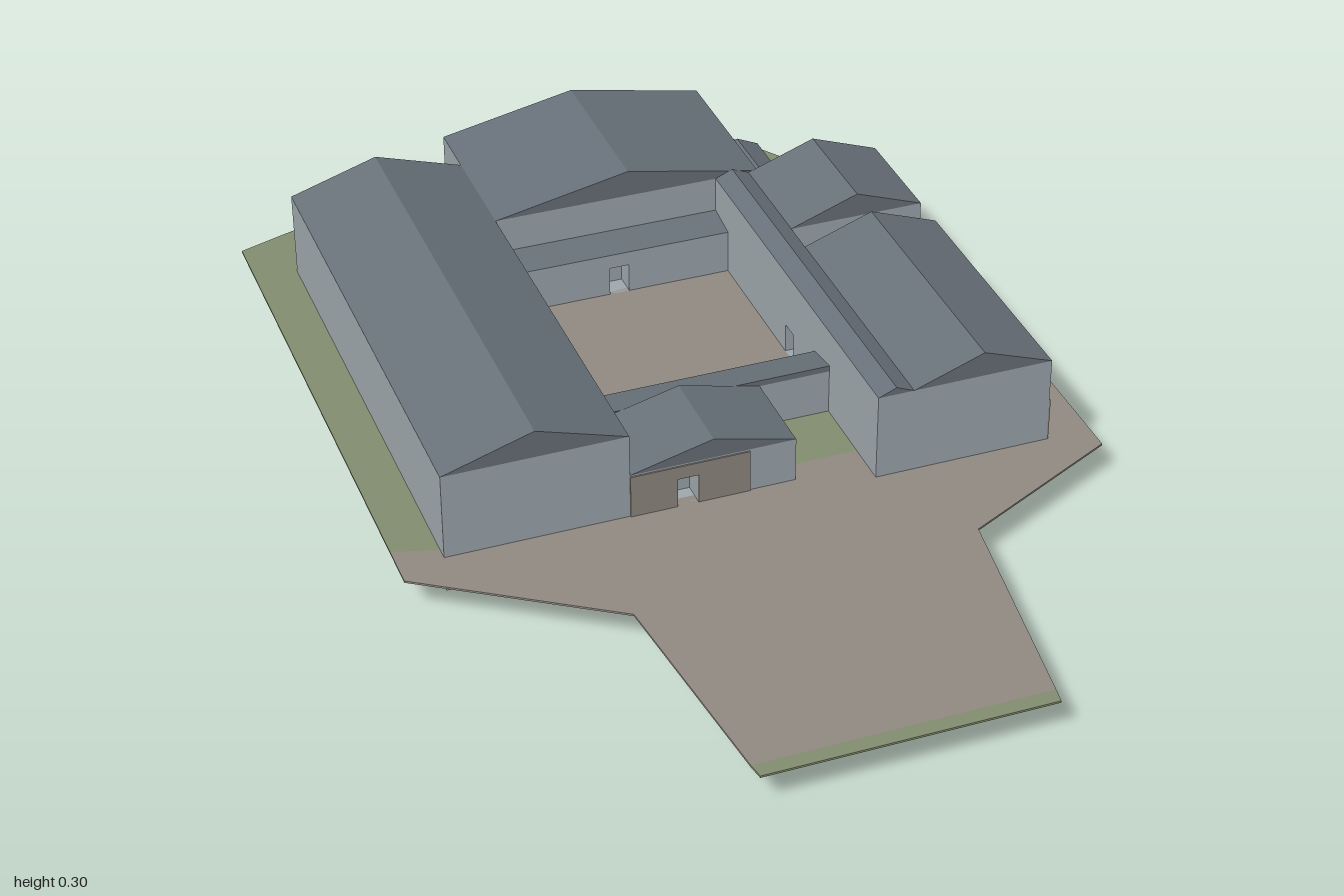
import * as THREE from 'three';

const flat = (name, color) => Object.assign(new THREE.MeshStandardMaterial({ color }), { name });

export function createModel() {
  const wall = flat('pale wall', 0xa0aab0);
  const roof = flat('slate roof', 0x69727a);
  const paving = flat('brown paving', 0x938b83);
  const grass = flat('dull grass', 0x848f70);

  const model = new THREE.Group();
  model.name = 'courtyardComplex';
  const FLOOR = 0.06, GROUND = 0.07, DOOR_TOP = 0.13, EAVE = 0.245, LOW_EAVE = 0.16;
  const DOOR_HALF = 0.02, DOOR_DEPTH = 0.045;

  const add = (name, geometry, material) => {
    const mesh = new THREE.Mesh(geometry, material);
    mesh.name = name;
    model.add(mesh);
    return mesh;
  };
  const shapeOf = (pts) => new THREE.Shape(pts.map(([a, b]) => new THREE.Vector2(a, b)));
  const extrude = (shape, depth) => new THREE.ExtrudeGeometry(shape, { depth, bevelEnabled: false });

  // Plan outline in (x, z), raised from y0 to y1
  const slab = (name, pts, y0, y1, material) =>
    add(name, extrude(shapeOf(pts.map(([x, z]) => [x, -z])), y1 - y0)
      .rotateX(-Math.PI / 2).translate(0, y0, 0), material);

  // Profile in (x, y) swept along z, or in (z, y) swept along x
  const sweepZ = (name, shape, z0, z1, material) =>
    add(name, extrude(shape, z1 - z0).translate(0, 0, z0), material);
  const sweepX = (name, shape, x0, x1, material) =>
    add(name, extrude(shape, x1 - x0).rotateY(-Math.PI / 2).translate(x1, 0, 0), material);

  // Rectangular walls; a door is a recess in one side: [side, position along it]
  const walls = (name, x0, x1, z0, z1, top, door) => {
    const plain = [[x0, z0], [x1, z0], [x1, z1], [x0, z1]];
    if (!door) return slab(name, plain, FLOOR, top, wall);
    const [side, c] = door, a = c - DOOR_HALF, b = c + DOOR_HALF, d = DOOR_DEPTH;
    const notch = {
      back: [1, [[a, z0], [a, z0 + d], [b, z0 + d], [b, z0]]],
      right: [2, [[x1, a], [x1 - d, a], [x1 - d, b], [x1, b]]],
      front: [3, [[b, z1], [b, z1 - d], [a, z1 - d], [a, z1]]],
      left: [4, [[x0, b], [x0 + d, b], [x0 + d, a], [x0, a]]],
    }[side];
    const cut = plain.slice();
    cut.splice(notch[0], 0, ...notch[1]);
    slab(name + 'Base', plain, FLOOR, GROUND, wall);
    slab(name + 'Lower', cut, GROUND, DOOR_TOP, wall);
    slab(name + 'Upper', plain, DOOR_TOP, top, wall);
  };

  const gable = (name, x0, x1, z0, z1, eave, ridge) =>
    sweepZ(name, shapeOf([[x0, eave], [x1, eave], [(x0 + x1) / 2, ridge]]), z0, z1, roof);

  // Gabled buildings: name, x0, x1, z0, z1, eave, ridge, door
  [
    ['leftRange', -0.58, -0.23, -0.75, 0.26, EAVE, 0.3],
    ['backHall', -0.23, 0.32, -0.87, -0.52, EAVE, 0.3],
    ['passage', 0.23, 0.3, -0.52, 0.305, EAVE, 0.26, ['left', -0.12]],
    ['sideRangeFront', 0.3, 0.575, -0.22, 0.305, EAVE, 0.295, ['right', 0.2]],
    ['sideRangeBack', 0.3, 0.575, -0.52, -0.29, EAVE, 0.295],
    ['backAnnex', 0.32, 0.41, -0.75, -0.52, 0.165, 0.185],
    ['gatehouse', -0.23, 0.09, 0.078, 0.26, LOW_EAVE, 0.2, ['front', -0.12]],
  ].forEach(([name, x0, x1, z0, z1, eave, ridge, door]) => {
    walls(name + 'Walls', x0, x1, z0, z1, eave, door);
    gable(name + 'Roof', x0, x1, z0, z1, eave, ridge);
  });

  // Low lean-to galleries facing the courtyard
  walls('frontGalleryWalls', -0.23, 0.23, 0.005, 0.078, LOW_EAVE, ['back', 0]);
  sweepX('frontGalleryRoof', shapeOf([[0.005, LOW_EAVE], [0.078, LOW_EAVE], [0.078, 0.172]]), -0.23, 0.23, roof);
  walls('backGalleryWalls', -0.23, 0.23, -0.52, -0.45, LOW_EAVE, ['front', 0]);
  sweepX('backGalleryRoof', shapeOf([[-0.52, LOW_EAVE], [-0.45, LOW_EAVE], [-0.52, 0.172]]), -0.23, 0.23, roof);

  // Low link between the two halves of the side range
  walls('linkWalls', 0.3, 0.575, -0.29, -0.22, 0.165);
  sweepZ('linkRoof', shapeOf([[0.3, 0.165], [0.575, 0.165], [0.3, 0.18]]), -0.29, -0.22, roof);

  // Basement below the left range
  slab('basement', [[-0.58, -0.445], [-0.3, -0.445], [-0.3, 0.265], [-0.58, 0.265]], 0, FLOOR + 0.001, wall);

  // Brown facing around the two outer doors
  const facing = (u0, u1, c) => {
    const a = c - DOOR_HALF, b = c + DOOR_HALF;
    return shapeOf([[u0, GROUND - 0.005], [a, GROUND - 0.005], [a, DOOR_TOP], [b, DOOR_TOP],
      [b, GROUND - 0.005], [u1, GROUND - 0.005], [u1, 0.157], [u0, 0.157]]);
  };
  sweepZ('gatehouseFacing', facing(-0.23, 0, -0.12), 0.26, 0.263, paving);
  sweepX('sideRangeFacing', facing(0.085, 0.305, 0.2), 0.575, 0.578, paving);

  // Ground plates
  const ground = (name, material, pts, y1 = GROUND) => slab(name, pts, 0.066, y1, material);
  ground('lawn', grass, [[-0.665, -0.865], [-0.27, -1], [0.39, -1], [0.56, -0.734],
    [0.56, -0.5], [-0.5, -0.5], [-0.5, 0.24], [-0.57, 0.24], [-0.665, 0.21]]);
  ground('forecourt', paving, [[-0.665, 0.21], [-0.57, 0.24], [-0.5, 0.24], [0.09, 0.24],
    [0.09, 0.215], [0.5, 0.215], [0.56, 0.1], [0.56, -0.734], [0.665, -0.57], [0.665, 0.355],
    [0.34, 0.515], [0.275, 0.97], [-0.275, 0.97], [-0.32, 0.53], [-0.665, 0.3]]);
  ground('roadVerge', grass, [[-0.275, 0.97], [0.275, 0.97], [0.27, 1], [-0.27, 1]]);
  ground('nookLawn', grass, [[0.08, 0.07], [0.25, 0.07], [0.25, 0.215], [0.08, 0.215]]);
  ground('courtyardPaving', paving, [[-0.24, -0.46], [0.24, -0.46], [0.24, 0.02], [-0.24, 0.02]]);
  ground('courtyardLawn', grass, [[-0.235, -0.25], [-0.215, -0.2], [-0.2, 0], [-0.235, 0.01]], GROUND + 0.002);

  return model;
}
